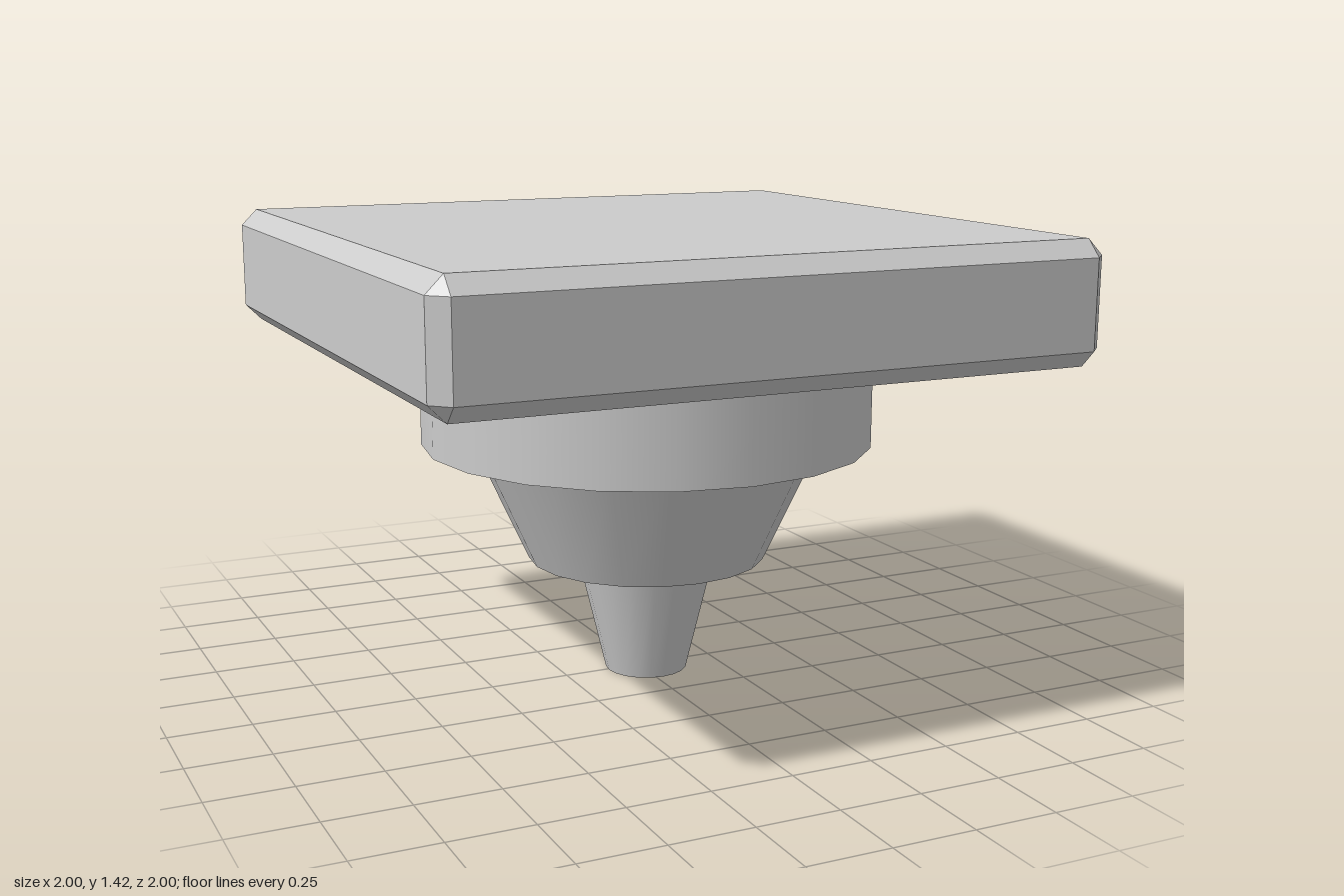
import * as THREE from 'three';
import { ConvexGeometry } from 'three/addons/geometries/ConvexGeometry.js';

// Box with every edge and corner chamfered
function chamferedBox(w, h, d, c) {
  const points = [];
  for (const sx of [-1, 1]) for (const sy of [-1, 1]) for (const sz of [-1, 1]) {
    const x = w / 2, y = h / 2, z = d / 2;
    points.push(
      new THREE.Vector3(sx * x, sy * (y - c), sz * (z - c)),
      new THREE.Vector3(sx * (x - c), sy * y, sz * (z - c)),
      new THREE.Vector3(sx * (x - c), sy * (y - c), sz * z)
    );
  }
  return new ConvexGeometry(points);
}

export function createModel() {
  const group = new THREE.Group();
  const smooth = new THREE.MeshStandardMaterial({ color: 0xcccccc });
  const flat = new THREE.MeshStandardMaterial({ color: 0xcccccc, flatShading: true });

  // Square slab on top
  const slab = new THREE.Mesh(chamferedBox(2, 0.365, 2, 0.05), flat);
  slab.name = 'topSlab';
  slab.position.y = 1.2375;
  group.add(slab);

  // Stacked round tiers, slightly off centre: name, top radius, bottom radius, bottom y, top y
  const tiers = [
    ['collar', 0.7, 0.7, 0.745, 1.055],
    ['taperedBody', 0.543, 0.372, 0.372, 0.745],
    ['tip', 0.218, 0.129, 0, 0.372],
  ];
  for (const [name, rTop, rBottom, y0, y1] of tiers) {
    const tier = new THREE.Mesh(new THREE.CylinderGeometry(rTop, rBottom, y1 - y0, 20), smooth);
    tier.name = name;
    tier.position.set(0.022, (y0 + y1) / 2, 0.01);
    group.add(tier);
  }
  return group;
}
